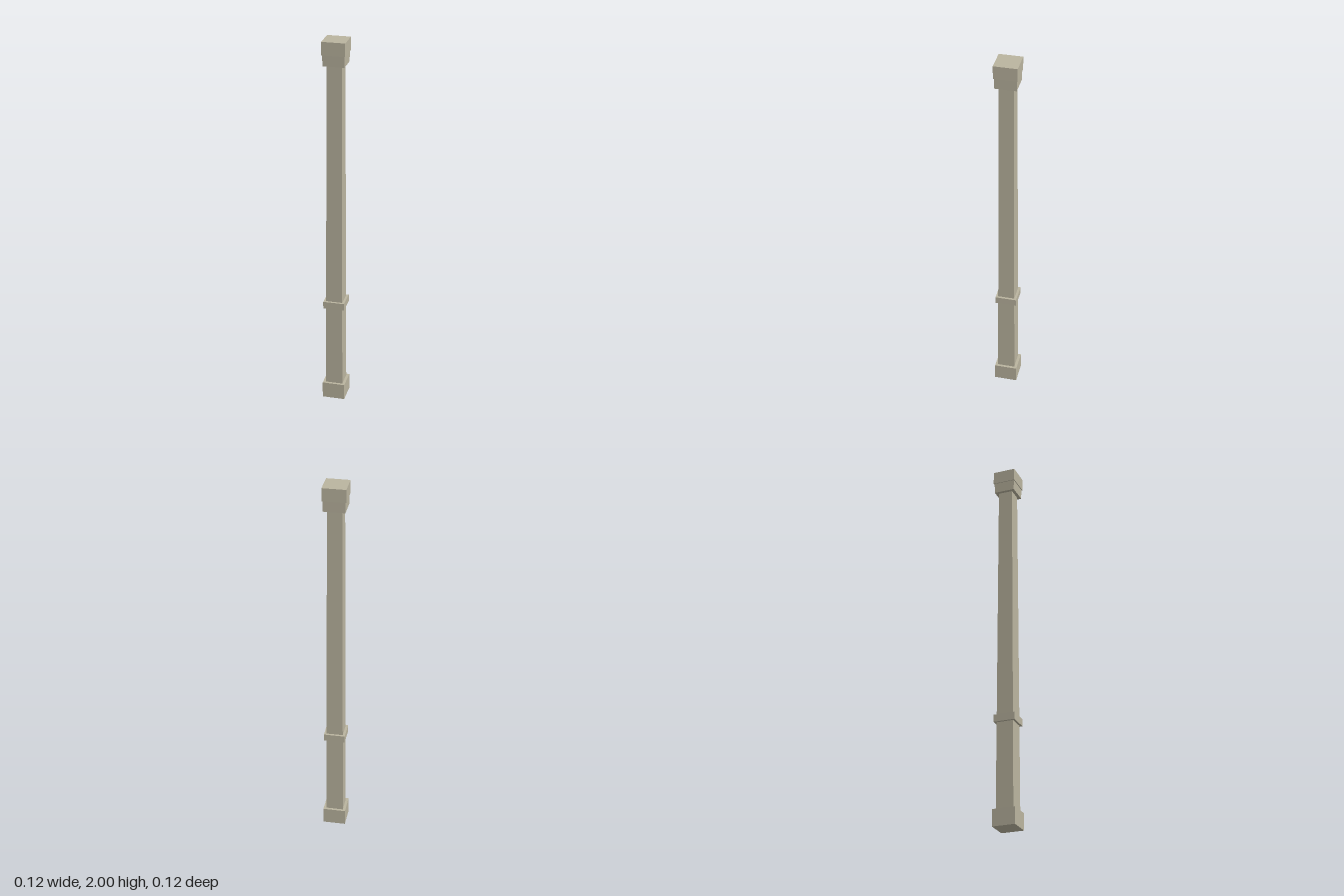
import * as THREE from 'three';

export function createModel() {
  const group = new THREE.Group();
  group.name = 'column';
  const stone = new THREE.MeshStandardMaterial({ color: 0xbab49f });
  stone.name = 'paleStone';

  // Square block between two heights, with its own bottom and top half-width
  function block(name, y0, y1, bottom, top = bottom) {
    const geo = new THREE.BoxGeometry(2, y1 - y0, 2);
    const p = geo.attributes.position;
    for (let i = 0; i < p.count; i++) {
      const half = p.getY(i) < 0 ? bottom : top;
      p.setX(i, p.getX(i) * half);
      p.setZ(i, p.getZ(i) * half);
    }
    geo.computeVertexNormals();
    const mesh = new THREE.Mesh(geo, stone);
    mesh.name = name;
    mesh.position.y = (y0 + y1) / 2;
    group.add(mesh);
  }

  block('base', 0, 0.088, 0.06);
  block('shaft', 0.088, 1.876, 0.046, 0.038); // gentle taper
  block('collar', 0.543, 0.581, 0.056);
  block('lowerCapital', 1.876, 1.932, 0.055, 0.056);
  block('upperCapital', 1.932, 2, 0.06);

  return group;
}
